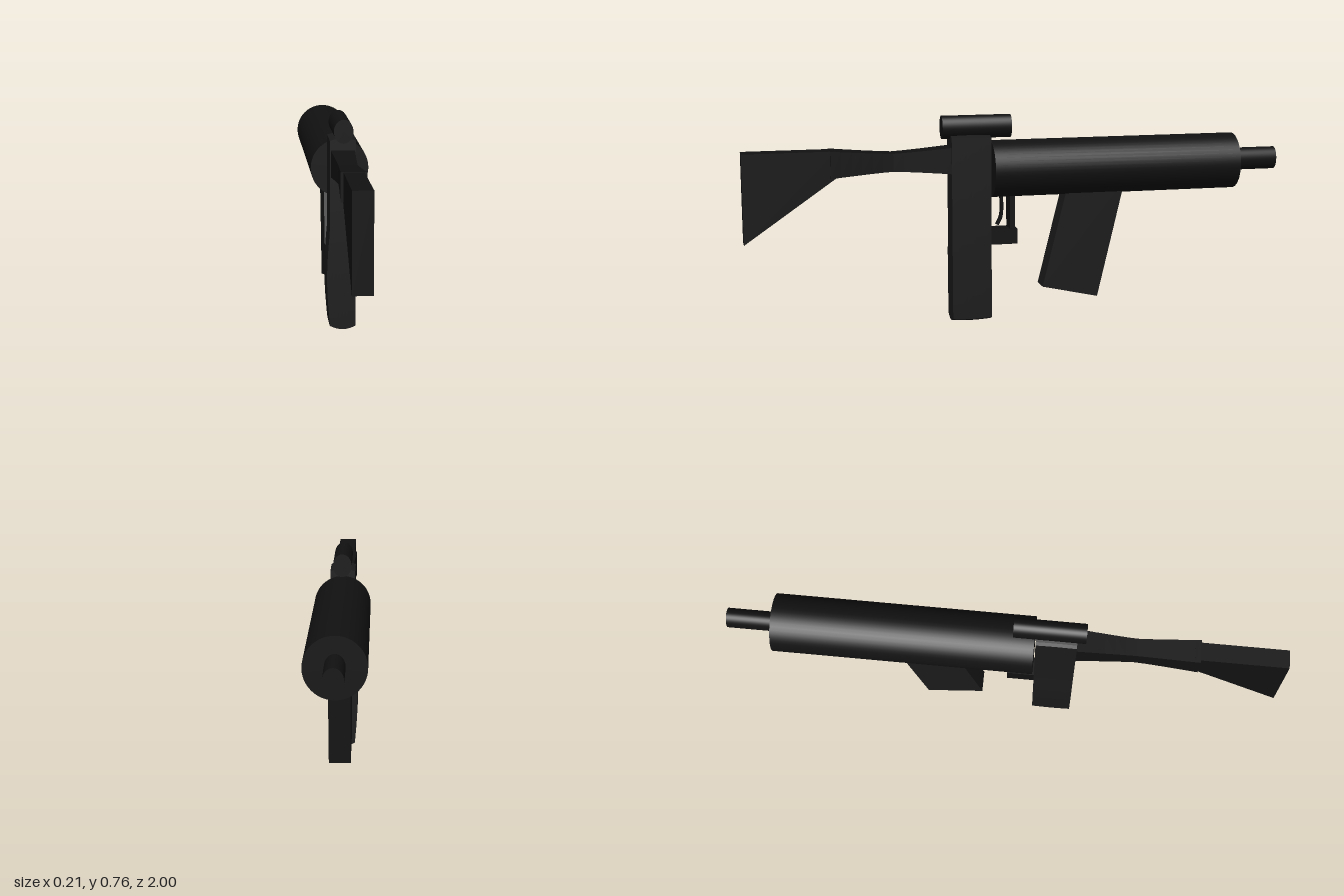
import * as THREE from 'three';

const black = new THREE.MeshStandardMaterial({ color: 0x111111 });
const charcoal = new THREE.MeshStandardMaterial({ color: 0x1a1a1a });

function add(group, name, geometry, material) {
  const mesh = new THREE.Mesh(geometry, material);
  mesh.name = name;
  group.add(mesh);
  return mesh;
}

// Elliptical rod along z
function rod(rx, ry, y, z0, z1) {
  return new THREE.CylinderGeometry(1, 1, z1 - z0, 48)
    .rotateX(Math.PI / 2)
    .scale(rx, ry, 1)
    .translate(0, y, (z0 + z1) / 2);
}

// Box given by its limits, centred on x = 0
function block(width, y0, y1, z0, z1) {
  return new THREE.BoxGeometry(width, y1 - y0, z1 - z0)
    .translate(0, (y0 + y1) / 2, (z0 + z1) / 2);
}

// Side outline of [z, y] points, extruded across the width
function plate(points, width) {
  const shape = new THREE.Shape(points.map(([z, y]) => new THREE.Vector2(-z, y)));
  return new THREE.ExtrudeGeometry(shape, { depth: width, bevelEnabled: false })
    .translate(0, 0, -width / 2)
    .rotateY(Math.PI / 2);
}

// Grip: tall box with domed ends and a slight swell on its right side
function gripGeometry() {
  const geo = new THREE.BoxGeometry(0.092, 0.668, 0.145, 8, 24, 8).toNonIndexed();
  const p = geo.attributes.position;
  for (let i = 0; i < p.count; i++) {
    let x = p.getX(i), y = p.getY(i) + 0.35;
    const z = p.getZ(i);
    const dome = 0.014 * (1 - (x / 0.046) ** 2) + 0.004 * (1 - (z / 0.0725) ** 2);
    if (y < 0.017) y -= dome * 0.9;
    if (y > 0.683) y += dome * 0.6;
    if (x < -0.045 && y > 0.016 && y < 0.36) {
      x -= 0.01 * Math.sin(Math.PI * (y - 0.016) / 0.344);
    }
    p.setXYZ(i, x, y, z + 0.1825);
  }
  geo.computeVertexNormals();
  return geo;
}

// Neck: box pinched smoothly at its middle
function neckGeometry() {
  const geo = new THREE.BoxGeometry(0.086, 0.098, 0.45, 1, 1, 12).toNonIndexed();
  const p = geo.attributes.position;
  for (let i = 0; i < p.count; i++) {
    const t = Math.min(1, Math.abs(p.getZ(i)) / 0.225) ** 1.2;
    p.setXYZ(i, p.getX(i) * (0.76 + 0.24 * t), p.getY(i) * (0.66 + 0.34 * t) + 0.602, p.getZ(i) + 0.465);
  }
  geo.computeVertexNormals();
  return geo;
}

export function createModel() {
  const model = new THREE.Group();

  // Body and muzzle
  add(model, 'barrelBody', rod(0.104, 0.104, 0.563, -0.83, 0.105), black);
  add(model, 'muzzle', rod(0.034, 0.042, 0.567, -1, -0.8), black);

  // Sight on top of the grip
  add(model, 'sight', rod(0.034, 0.042, 0.72, 0.03, 0.285), black);

  // Grip and stock
  add(model, 'grip', gripGeometry(), charcoal);
  add(model, 'stockNeck', neckGeometry(), black);
  add(model, 'stockButt', plate([[1, 0.325], [0.67, 0.553], [0.67, 0.65], [1, 0.65]], 0.067), black);

  // Slanted magazine, its top sunk into the body
  add(model, 'magazine', plate(
    [[-0.085, 0.118], [-0.295, 0.071], [-0.398, 0.51], [-0.182, 0.51]], 0.078), charcoal);

  // Trigger guard: base and post
  add(model, 'guardBase', block(0.07, 0.286, 0.342, 0.01, 0.115), black);
  add(model, 'guardPost', block(0.06, 0.33, 0.48, 0.018, 0.038), black);

  // Curved trigger
  const curve = new THREE.CatmullRomCurve3([
    [0.066, 0.48], [0.063, 0.43], [0.066, 0.385], [0.08, 0.355],
  ].map(([z, y]) => new THREE.Vector3(0, y, z)));
  const trigger = add(model, 'trigger', new THREE.TubeGeometry(curve, 12, 0.007, 8), black);
  trigger.scale.x = 2;

  return model;
}
